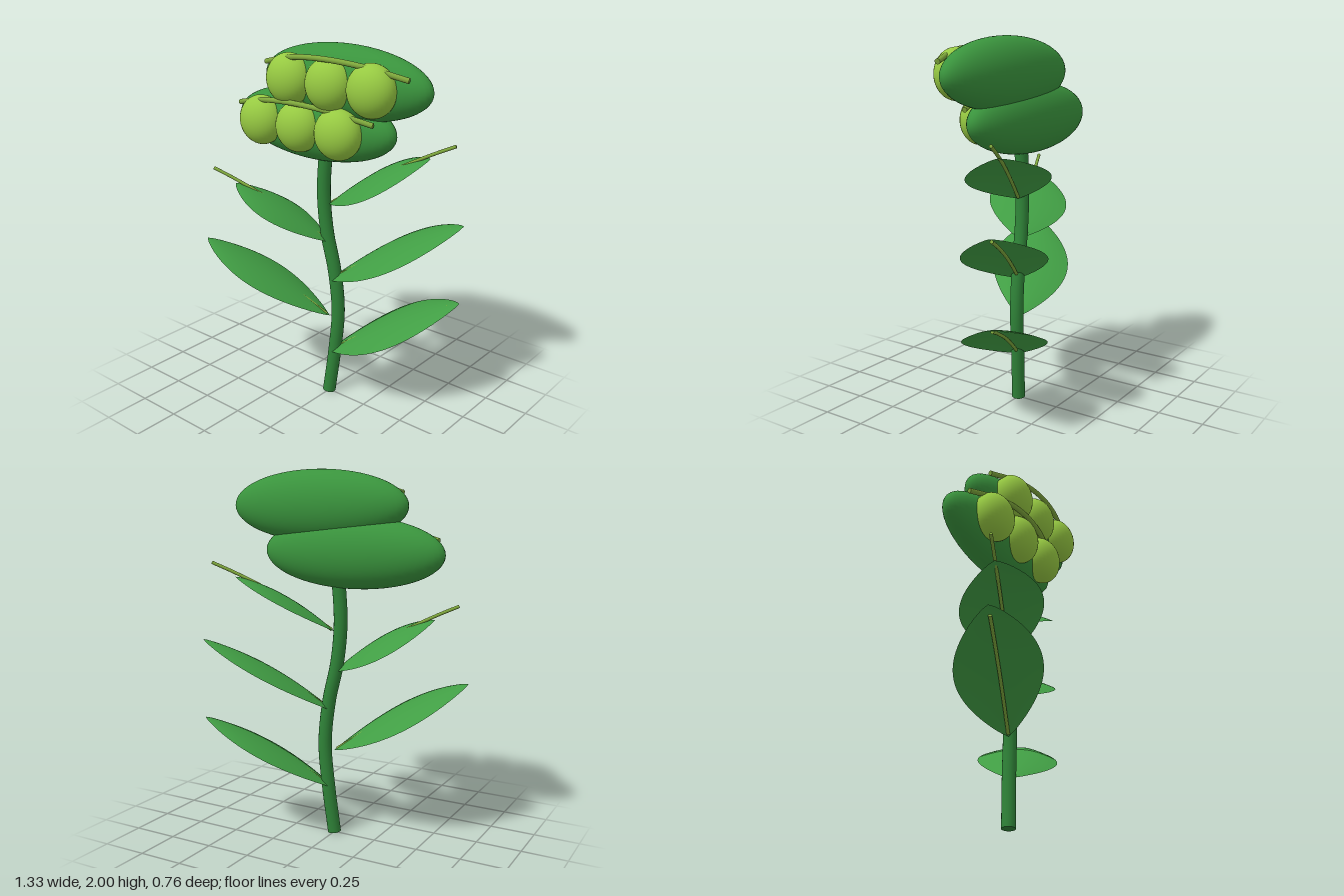
import * as THREE from 'three';

const mat = (name, color, side = THREE.FrontSide) => {
  const m = new THREE.MeshStandardMaterial({ color, side });
  m.name = name;
  return m;
};
const v = (x, y, z) => new THREE.Vector3(x, y, z);

export function createModel() {
  const stemGreen = mat('stem green', 0x2f8338);
  const podGreen = mat('pod green', 0x3a943d);
  const leafGreen = mat('leaf green', 0x419e44, THREE.DoubleSide);
  const peaGreen = mat('pea green', 0x97ca42);
  const veinGreen = mat('vein green', 0x7fa83c);

  const model = new THREE.Group();
  model.name = 'peaPlant';
  const add = (parent, name, geometry, material) => {
    const mesh = new THREE.Mesh(geometry, material);
    mesh.name = name;
    parent.add(mesh);
    return mesh;
  };

  // Tube along a smooth curve, closed by a disc at both ends
  const cappedTube = (parent, name, points, radius, material) => {
    const curve = new THREE.CatmullRomCurve3(points);
    add(parent, name, new THREE.TubeGeometry(curve, 40, radius, 16), material);
    for (const t of [0, 1]) {
      const cap = add(parent, name + 'End', new THREE.CircleGeometry(radius, 16), material);
      const out = curve.getTangent(t).multiplyScalar(t ? 1 : -1);
      cap.position.copy(curve.getPoint(t));
      cap.quaternion.setFromUnitVectors(v(0, 0, 1), out);
    }
  };

  // Winding stem
  cappedTube(model, 'stem', [
    v(0, 0.005, 0), v(0.03, 0.28, -0.015), v(0.048, 0.52, -0.02), v(0.025, 0.76, -0.015),
    v(-0.02, 0.98, -0.005), v(-0.038, 1.2, 0), v(-0.02, 1.48, 0),
  ], 0.037, stemGreen);

  // Leaf: pointed sheet domed across its width, with a vein underneath
  const axis = v(0.665, 0.39, -0.283);
  const across = v(0.34, -0.13, 0.92);

  function addLeaf(name, y, length, turn) {
    const leaf = new THREE.Group();
    leaf.name = name;
    leaf.position.y = y;
    leaf.rotation.y = turn;

    const blade = new THREE.PlaneGeometry(1, 2, 40, 12);
    const pos = blade.attributes.position;
    for (let i = 0; i < pos.count; i++) {
      const t = Math.min(1, Math.max(0, pos.getX(i) + 0.5));
      const side = -pos.getY(i);
      const swell = Math.pow(Math.max(0, Math.sin(Math.PI * Math.pow(t, 1.08))), 0.78);
      const p = axis.clone().multiplyScalar(t * length).addScaledVector(across, side * swell * 0.226);
      p.y += 0.045 * swell * (1 - side * side);
      pos.setXYZ(i, p.x, p.y, p.z);
    }
    blade.computeVertexNormals();
    add(leaf, 'blade', blade, leafGreen);

    // The vein is equally long on every leaf, so it pokes out of short ones
    const vein = [0.02, 0.25, 0.5, 0.75, 0.915].map((t) =>
      axis.clone().multiplyScalar(t).add(v(0, 0.029 * Math.sin(Math.PI * t), 0)));
    cappedTube(leaf, 'vein', vein, 0.009, veinGreen);
    model.add(leaf);
  }
  addLeaf('lowerLeftLeaf', 0.26, 1, 0);
  addLeaf('middleLeftLeaf', 0.7, 1, 0);
  addLeaf('upperLeftLeaf', 1.145, 0.74, 0);
  addLeaf('lowerRightLeaf', 0.48, 1, Math.PI);
  addLeaf('upperRightLeaf', 0.925, 0.74, Math.PI);

  // Pod: ellipsoid shell, three peas in its front and a strand over them
  function addPod(name, x, y) {
    const pod = new THREE.Group();
    pod.name = name;
    pod.position.set(x, y, 0);

    const shell = add(pod, 'shell', new THREE.SphereGeometry(1, 48, 32), podGreen);
    shell.scale.set(0.522, 0.19, 0.145);

    for (const px of [-0.26, 0, 0.26]) {
      const pea = add(pod, 'pea', new THREE.SphereGeometry(0.132, 32, 24), peaGreen);
      pea.position.set(px, 0.003, 0.125);
      pea.scale.z = 0.77;
    }
    cappedTube(pod, 'strand', [
      v(-0.45, 0.068, 0.09), v(-0.23, 0.118, 0.157), v(0, 0.135, 0.18),
      v(0.23, 0.118, 0.157), v(0.45, 0.068, 0.09),
    ], 0.014, veinGreen);
    model.add(pod);
  }
  addPod('lowerPod', -0.102, 1.57);
  addPod('upperPod', 0.1, 1.81);

  return model;
}
